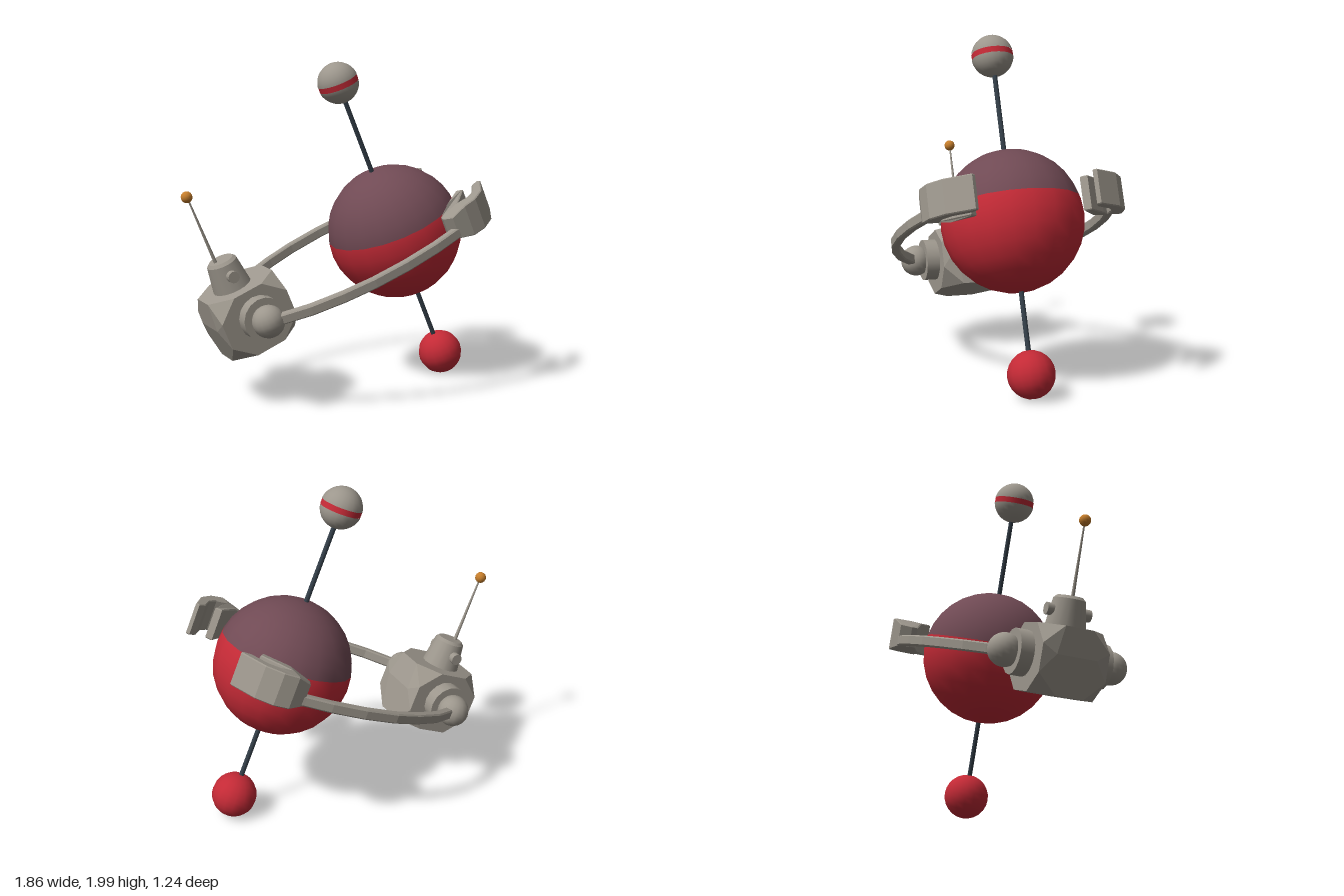
import * as THREE from 'three';
import { ConvexGeometry } from 'three/addons/geometries/ConvexGeometry.js';

const mat = (name, color) => {
  const m = new THREE.MeshStandardMaterial({ color });
  m.name = name;
  return m;
};

export function createModel() {
  const grey = mat('warm grey', 0x9d978d);
  const red = mat('red', 0xc42a36);
  const plum = mat('plum', 0x704a54);
  const dark = mat('dark steel', 0x333e48);
  const orange = mat('orange', 0xc67e2c);

  const model = new THREE.Group();
  model.name = 'satelliteRobot';
  // Everything lies along one tilted axis through the main sphere
  const tilt = new THREE.Group();
  tilt.name = 'tiltedAssembly';
  tilt.position.set(0.45, 0.95, 0);
  tilt.rotation.z = 0.4;
  model.add(tilt);

  const add = (name, geometry, material, x = 0, y = 0, z = 0) => {
    const m = new THREE.Mesh(geometry, material);
    m.name = name;
    m.position.set(x, y, z);
    tilt.add(m);
    return m;
  };
  const rod = (name, r0, r1, y0, y1, x, material, sides = 8) =>
    add(name, new THREE.CylinderGeometry(r1, r0, y1 - y0, sides), material, x, (y0 + y1) / 2);
  const ball = (r, from = 0, to = Math.PI, w = 20, h = 14) =>
    new THREE.SphereGeometry(r, w, h, 0, Math.PI * 2, from, to - from);

  // Main sphere: plum dome over a red bowl
  const split = Math.acos(0.085 / 0.412);
  add('upperDome', ball(0.412, 0, split, 20, 7), plum);
  add('lowerBowl', ball(0.412, split, Math.PI, 20, 8), red);

  // Axis rods with end balls
  rod('upperRod', 0.015, 0.015, 0.38, 0.92, 0, dark);
  rod('lowerRod', 0.015, 0.015, -0.8, -0.38, 0, dark);
  add('lowerBall', ball(0.136, 0, Math.PI, 16, 12), red, 0, -0.878);
  const gap = Math.acos(0.017 / 0.125);
  add('upperBallTop', ball(0.125, 0, gap, 20, 7), grey, 0, 1);
  add('upperBallBottom', ball(0.125, Math.PI - gap, Math.PI, 20, 7), grey, 0, 1);
  rod('upperBallBand', 0.122, 0.122, 0.982, 1.018, 0, red, 20);

  // Body: block with cut corners
  const half = [0.218, 0.19, 0.2], corners = [];
  for (const sx of [-1, 1]) for (const sy of [-1, 1]) for (const sz of [-1, 1])
    for (let axis = 0; axis < 3; axis++) {
      const p = [sx * half[0], sy * half[1], sz * half[2]];
      p[axis] *= 0.42;
      corners.push(new THREE.Vector3(...p));
    }
  // Slight bulge of the front and rear faces
  for (const sx of [-1, 1]) for (const sz of [-1, 1])
    corners.push(new THREE.Vector3(sx * 0.24, 0.03, sz * 0.12));
  add('body', new ConvexGeometry(corners), grey, -1.073, 0.005);

  // Neck, side pins and antenna
  rod('neck', 0.12, 0.092, 0.17, 0.355, -1.092, grey, 16);
  rod('neckRim', 0.092, 0.075, 0.355, 0.372, -1.092, grey, 16);
  const pin = add('neckPin', new THREE.CylinderGeometry(0.035, 0.035, 0.27, 12), grey, -1.096, 0.284);
  pin.rotation.x = Math.PI / 2;
  rod('antenna', 0.011, 0.005, 0.36, 0.79, -1.127, grey);
  add('antennaTip', ball(0.034, 0, Math.PI, 12, 8), orange, -1.129, 0.8);

  // Arm centre line and gripper outline, seen along the axis
  const armLine = [[-1.05, 0.33], [-0.98, 0.385], [-0.845, 0.47], [-0.66, 0.54], [-0.476, 0.582],
    [-0.258, 0.595], [-0.041, 0.578], [0.12, 0.545], [0.2, 0.53]].map(p => new THREE.Vector2(...p));
  const armEdge = side => armLine.map((p, i) => {
    const a = armLine[Math.max(i - 1, 0)], b = armLine[Math.min(i + 1, armLine.length - 1)];
    const d = b.clone().sub(a).normalize();
    return [p.x - d.y * side * 0.026, p.y + d.x * side * 0.026];
  });
  const armOutline = [...armEdge(1), ...armEdge(-1).reverse()];
  const gripOutline = [[0.1, 0.5], [0.13, 0.565], [0.22, 0.582], [0.31, 0.565], [0.4, 0.5],
    [0.49, 0.355], [0.475, 0.335], [0.425, 0.355], [0.36, 0.45], [0.3, 0.485], [0.23, 0.487],
    [0.27, 0.45], [0.365, 0.345], [0.335, 0.31], [0.2, 0.41], [0.11, 0.46]];

  const slab = (outline, s, low, high, bevel) => {
    const shape = new THREE.Shape(outline.map(([x, z]) => new THREE.Vector2(x, s * z)));
    const g = new THREE.ExtrudeGeometry(shape, {
      depth: high - low - 2 * bevel, bevelEnabled: true, bevelSegments: 1,
      bevelSize: bevel, bevelThickness: bevel, bevelOffset: -bevel,
    });
    return g.rotateX(Math.PI / 2).translate(0, high - bevel, 0);
  };

  for (const [s, side] of [[1, 'left'], [-1, 'right']]) {
    // Shoulder collar and ball
    const collar = add(side + 'Collar', new THREE.CylinderGeometry(0.13, 0.13, 0.1, 16), grey, -1.066, 0.02, s * 0.23);
    collar.rotation.x = Math.PI / 2;
    add(side + 'Shoulder', ball(0.096, 0, Math.PI, 16, 12), grey, -1.066, 0.02, s * 0.325);
    // Curved arm
    add(side + 'Arm', slab(armOutline, s, -0.016, 0.046, 0.008), grey);
    // Gripper, narrowing towards the wrist
    const grip = slab(gripOutline, s, -0.042, 0.157, 0.006);
    const pos = grip.attributes.position;
    for (let i = 0; i < pos.count; i++) {
      const k = 0.65 + 0.35 * THREE.MathUtils.smoothstep(pos.getX(i), 0.1, 0.24);
      pos.setY(i, 0.035 + (pos.getY(i) - 0.035) * k);
    }
    grip.computeVertexNormals();
    add(side + 'Gripper', grip, grey);
  }
  return model;
}
